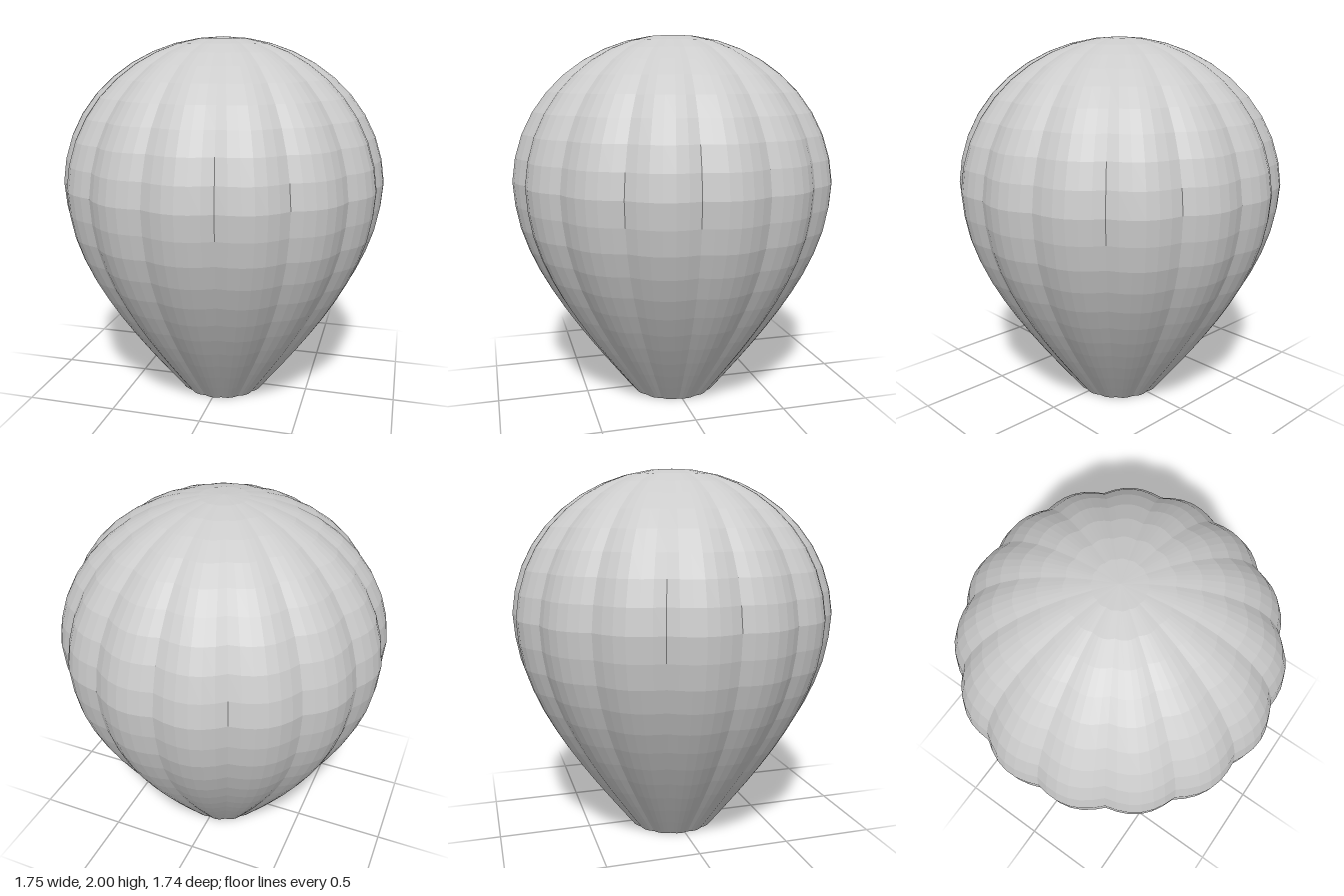
import * as THREE from 'three';

const LOBES = 15;
const SIDES_PER_LOBE = 6;
const ROWS = 21;
const VALLEY_DEPTH = 0.04;

// Envelope outline from the open mouth up to the crown
function envelopeProfile() {
  const radius = 0.878, equator = 1.2, height = 0.8;
  const points = [
    [0.242, 0], [0.398, 0.2], [0.545, 0.4], [0.675, 0.6], [0.78, 0.8], [0.85, 1.0],
  ].map(([r, y]) => new THREE.Vector2(r, y));
  for (let i = 0; i <= 12; i++) {
    const a = (i / 12) * Math.PI / 2;
    points.push(new THREE.Vector2(radius * Math.cos(a), equator + height * Math.sin(a)));
  }
  const rows = new THREE.SplineCurve(points).getSpacedPoints(ROWS);
  rows[ROWS].set(0, 2);
  return rows;
}

export function createModel() {
  const group = new THREE.Group();
  group.name = 'balloon';

  const geometry = new THREE.LatheGeometry(envelopeProfile(), LOBES * SIDES_PER_LOBE);

  // Pull the seams between the gores inwards so that each gore bulges
  const pos = geometry.attributes.position;
  for (let i = 0; i < pos.count; i++) {
    const x = pos.getX(i), z = pos.getZ(i);
    const bulge = Math.abs(Math.cos(Math.atan2(x, z) * LOBES / 2));
    const scale = 1 - VALLEY_DEPTH * (1 - bulge);
    pos.setX(i, x * scale);
    pos.setZ(i, z * scale);
  }
  geometry.translate(0, 0, -0.007);
  geometry.computeVertexNormals();

  const envelope = new THREE.Mesh(geometry, new THREE.MeshStandardMaterial({
    color: 0xcccccc, flatShading: true, side: THREE.DoubleSide,
  }));
  envelope.name = 'envelope';
  group.add(envelope);
  return group;
}
